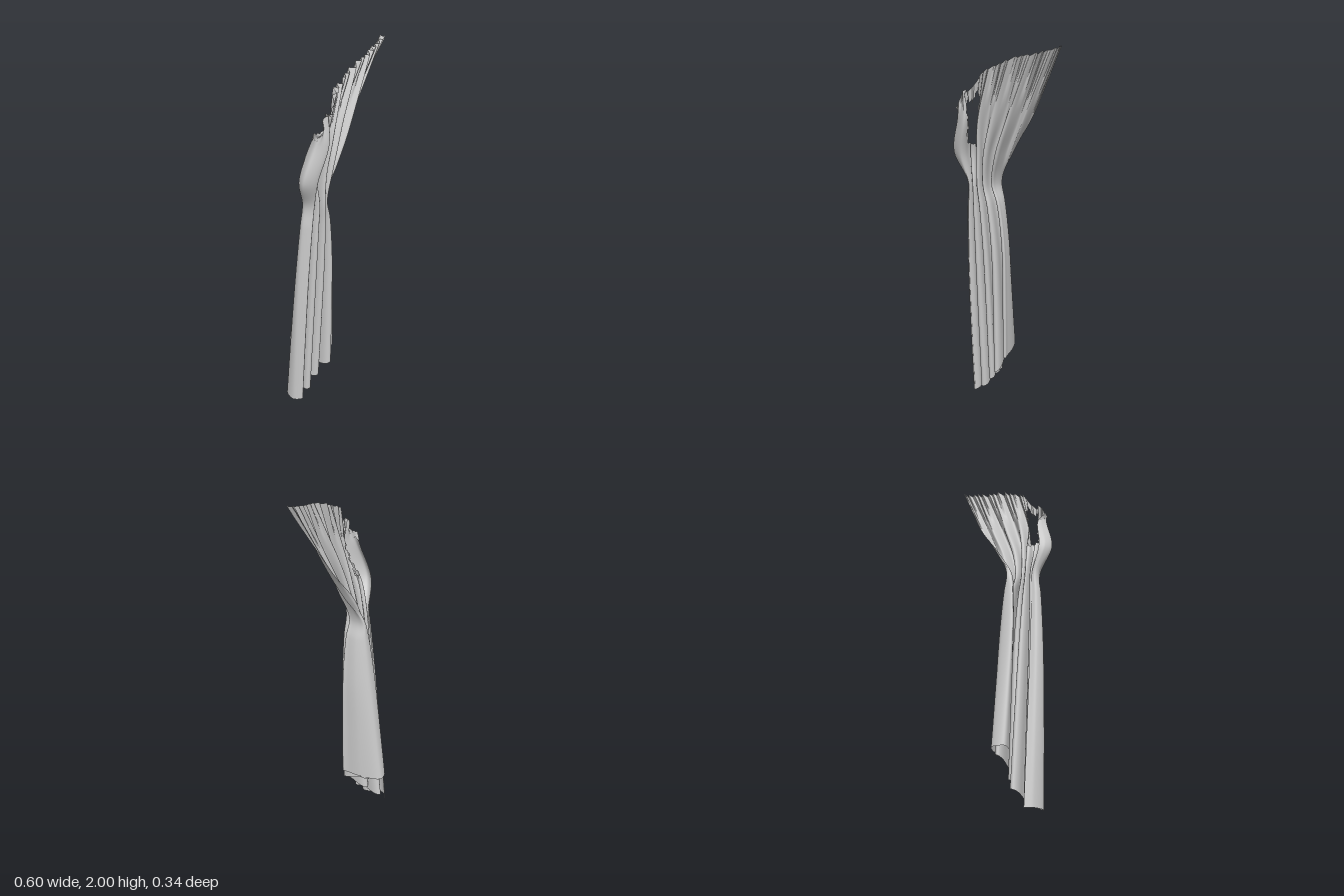
import * as THREE from 'three';

// Fold lines from the curtain's right edge to its left edge, one list per height: [x, z] or [x, y, z]
const HEM = [
  [-0.218, 0, -0.118], [-0.255, 0, -0.09], [-0.271, 0, -0.03], [-0.24, 0.01, 0.012], [-0.21, 0.04, -0.085],
  [-0.185, 0.05, 0.02], [-0.157, 0.09, -0.122], [-0.13, 0.12, 0.035], [-0.112, 0.15, -0.06], [-0.072, 0.2, 0.08],
  [-0.062, 0.27, -0.1], [-0.03, 0.285, 0.06], [-0.034, 0.29, -0.06], [-0.08, 0.29, -0.168], [-0.142, 0.29, -0.155],
  [-0.13, 0.285, -0.09],
];
const TIE = [
  [-0.21, 0.02], [-0.228, 0.025], [-0.237, 0.045], [-0.215, 0.09], [-0.2, 0.02], [-0.185, 0.1], [-0.168, 0.02],
  [-0.155, 0.11], [-0.14, 0.03], [-0.125, 0.1], [-0.11, 0.02], [-0.094, 0.06], [-0.08, 0], [-0.086, -0.035],
  [-0.105, -0.03], [-0.108, -0.015],
];
const GATHER = [
  [-0.25, 0.03], [-0.28, 0.05], [-0.297, 0.09], [-0.235, 0.13], [-0.208, 0.06], [-0.195, 0.09], [-0.165, 0.05],
  [-0.15, 0.115], [-0.13, 0.06], [-0.11, 0.12], [-0.085, 0.05], [-0.052, 0.1], [-0.03, 0.03], [-0.006, 0.03],
  [-0.012, -0.01], [-0.025, -0.02],
];
const FAN = [
  [-0.222, 0.08], [-0.24, 0.1], [-0.25, 0.13], [-0.195, 0.165], [-0.176, 0.13], [-0.162, 0.13], [-0.145, 0.11],
  [-0.13, 0.14], [-0.1, 0.09], [-0.06, 0.13], [-0.02, 0.07], [0.02, 0.125], [0.055, 0.06], [0.085, 0.075],
  [0.1, 0.03], [0.106, 0.02],
];
const HEADER = [
  [-0.25, 1.68, 0.13], [-0.247, 1.685, 0.135], [-0.235, 1.69, 0.15], [-0.2, 1.77, 0.15], [-0.18, 1.76, 0.16],
  [-0.14, 1.8, 0.145], [-0.105, 1.86, 0.13], [-0.065, 1.88, 0.135], [-0.02, 1.9, 0.125], [0.04, 1.93, 0.13],
  [0.1, 1.945, 0.13], [0.15, 1.955, 0.13], [0.2, 1.97, 0.12], [0.25, 1.98, 0.12], [0.285, 1.995, 0.112],
  [0.3, 2, 0.11],
];
const KEYS = HEM.length - 1;
const { lerp, smoothstep } = THREE.MathUtils;

const level = (list, y) => list.map(([x, z]) => new THREE.Vector3(x, y, z));
const points = (list) => list.map((p) => new THREE.Vector3(...p));

// Between hem and tie the folds narrow slowly, then pinch in at the tie, most sharply on the left edge
function pinched(hem, tie, f) {
  return hem.map((a, i) => new THREE.Vector3(
    lerp(a.x, tie[i].x, f ** (3 + i * 0.28)),
    lerp(a.y, tie[i].y, f),
    lerp(a.z, tie[i].z, f),
  ));
}

// Triangle wave for the tight pleats of the header
const zigzag = (t) => 4 * Math.abs(t - Math.floor(t + 0.5)) - 1;

// Torn opening, u counted in fold lines and v in levels, with a thin strip left along the top
function isTorn(u, v) {
  const ragged = 0.12 * Math.sin(v * 19) + 0.08 * Math.sin(v * 43);
  const sill = 5.25 + 0.06 * Math.sin(u * 4);
  const strip = 6.6 + 0.08 * Math.sin(u * 5);
  return u > 3.6 + ragged && u < 6 + ragged && v > sill && v < strip;
}

function drapeGeometry() {
  const hem = points(HEM), tie = level(TIE, 1.27);
  const levels = [
    hem, pinched(hem, tie, 0.33), pinched(hem, tie, 0.67), pinched(hem, tie, 0.9),
    tie, level(GATHER, 1.43), level(FAN, 1.62), points(HEADER),
  ];
  const rows = levels.map((list) => new THREE.CatmullRomCurve3(list));
  const top = levels.length - 1, nu = KEYS * 16, nv = top * 10;
  const pos = [], index = [];

  // Sweep the cross-section upward along smooth vertical curves
  for (let i = 0; i <= nu; i++) {
    const column = new THREE.CatmullRomCurve3(rows.map((r) => r.getPoint(i / nu)));
    const u = (i / nu) * KEYS;
    const middle = smoothstep(u, 2.8, 3.6) * (1 - smoothstep(u, 10.8, 11.6));
    for (let j = 0; j <= nv; j++) {
      const v = (j / nv) * top;
      const p = column.getPoint(j / nv);
      // Widen the fold tips into round flutes, fading out above the tie
      const flute = lerp(0.012, 0.005, smoothstep(v, 0, 4)) * (1 - smoothstep(v, 5, 6.5));
      p.x += flute * middle * Math.sin(2 * Math.PI * u);
      // Uneven pinch pleats along the header
      const pleat = smoothstep(v, 6, top) * (0.75 + 0.3 * Math.sin(u * 2.3));
      const wave = zigzag(u * 1.5 + 0.15 * Math.sin(u * 3.1));
      p.z += 0.015 * pleat * wave;
      p.y -= 0.006 * pleat * (1 + wave) * (i < nu ? 1 : 0);
      pos.push(p.x, p.y, p.z);
    }
  }
  for (let i = 0; i < nu; i++) {
    for (let j = 0; j < nv; j++) {
      if (isTorn(((i + 0.5) / nu) * KEYS, ((j + 0.5) / nv) * top)) continue;
      const a = i * (nv + 1) + j, b = a + nv + 1;
      index.push(a, b, b + 1, a, b + 1, a + 1);
    }
  }
  const geometry = new THREE.BufferGeometry();
  geometry.setAttribute('position', new THREE.Float32BufferAttribute(pos, 3));
  geometry.setIndex(index);
  geometry.computeVertexNormals();
  return geometry;
}

export function createModel() {
  const group = new THREE.Group();
  group.name = 'tiedCurtain';
  const cloth = new THREE.MeshStandardMaterial({ color: 0xcccccc, side: THREE.DoubleSide });
  const drape = new THREE.Mesh(drapeGeometry(), cloth);
  drape.name = 'curtainDrape';
  group.add(drape);
  return group;
}
